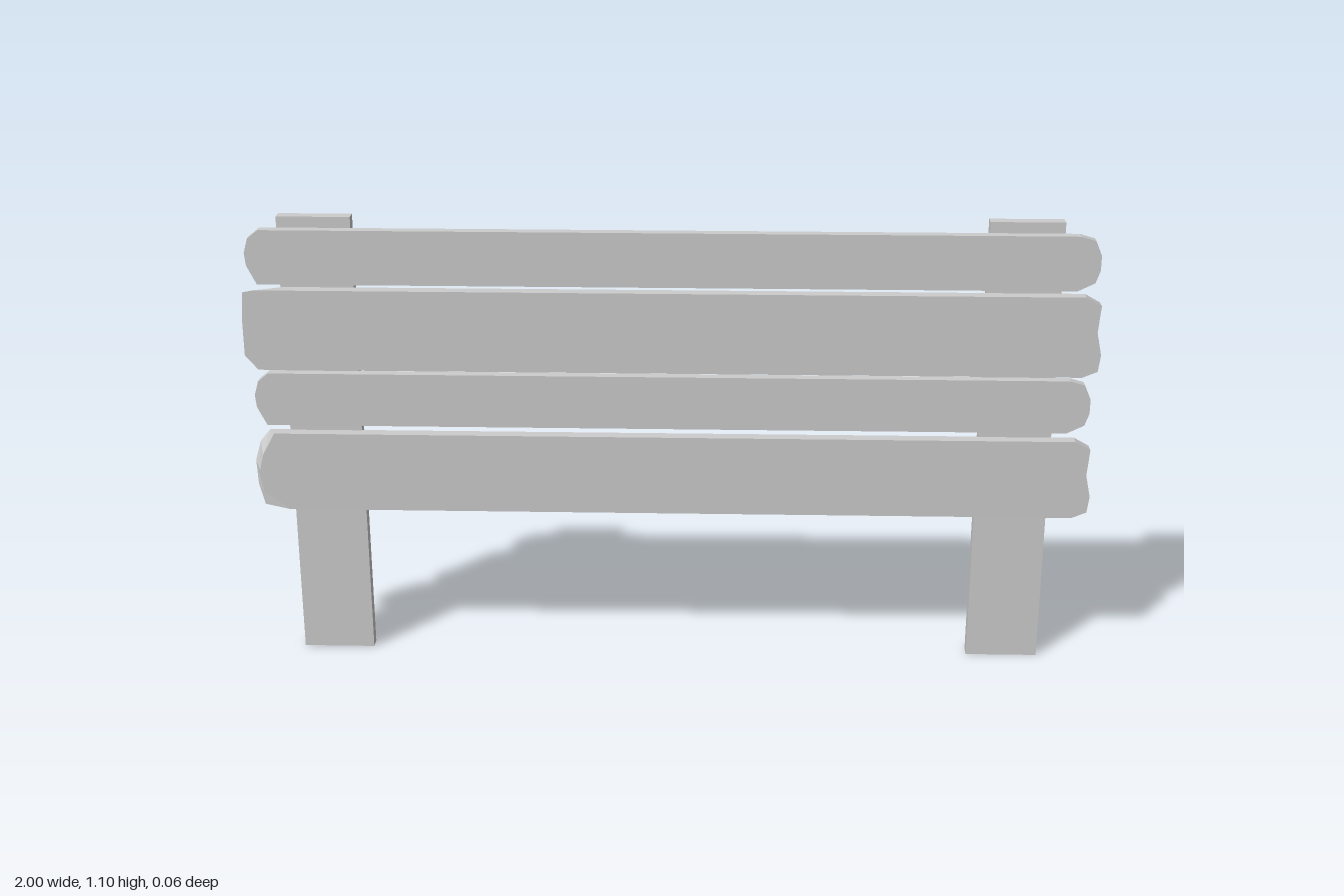
import * as THREE from 'three';

const material = new THREE.MeshStandardMaterial({ color: 0xcccccc, flatShading: true });

// Joins a back and a front outline (same point count, anticlockwise) into a solid board.
function boardGeometry(back, front, z0, z1) {
  const n = front.length;
  const positions = [
    ...back.flatMap(([x, y]) => [x, y, z0]),
    ...front.flatMap(([x, y]) => [x, y, z1]),
  ];
  const caps = (pts) => THREE.ShapeUtils.triangulateShape(pts.map((p) => new THREE.Vector2(...p)), []);
  const index = [];
  for (const [a, b, c] of caps(back)) index.push(a, c, b);
  for (const [a, b, c] of caps(front)) index.push(n + a, n + b, n + c);
  for (let i = 0; i < n; i++) {
    const j = (i + 1) % n;
    index.push(i, j, n + j, i, n + j, n + i);
  }
  const indexed = new THREE.BufferGeometry();
  indexed.setAttribute('position', new THREE.Float32BufferAttribute(positions, 3));
  indexed.setIndex(index);
  const geometry = indexed.toNonIndexed();
  geometry.computeVertexNormals();
  return geometry;
}

// End profiles as [x, height above the board's lower edge]; right runs up, left runs down.
const narrowRight = [[0.935, 0], [0.975, 0.02], [0.985, 0.05], [0.985, 0.085], [0.97, 0.12], [0.935, 0.13]];
const narrowLeft = [[-0.95, 0.13], [-0.975, 0.11], [-0.985, 0.075], [-0.982, 0.045], [-0.96, 0]];
const wideRight = [[0.96, 0], [0.995, 0.015], [1, 0.055], [0.988, 0.11], [0.993, 0.175], [0.957, 0.195]];
const upperLeft = [[-0.97, 0.195], [-0.995, 0.19], [-1, 0.12], [-1, 0.035], [-0.97, 0]];
const upperLeftBack = [[-0.9, 0.195], [-0.93, 0.165], [-0.95, 0.135], [-0.94, 0.045], [-0.96, 0]];
const lowerLeft = [[-0.945, 0.195], [-0.975, 0.14], [-0.985, 0.1], [-0.978, 0.045], [-0.92, 0]];
const lowerLeftBack = [[-0.96, 0.195], [-0.985, 0.165], [-1, 0.115], [-0.998, 0.055], [-0.985, 0]];

const planks = [
  { name: 'lowerWidePlank', y: 0.38, depth: 0.03, right: wideRight, left: lowerLeft, leftBack: lowerLeftBack },
  { name: 'lowerNarrowPlank', y: 0.595, depth: 0.025, right: narrowRight, left: narrowLeft },
  { name: 'upperWidePlank', y: 0.736, depth: 0.03, right: wideRight, left: upperLeft, leftBack: upperLeftBack },
  { name: 'upperNarrowPlank', y: 0.944, depth: 0.025, right: narrowRight, left: narrowLeft },
];

export function createModel() {
  const group = new THREE.Group();
  group.name = 'plankFence';

  // Horizontal planks with worn, chipped ends
  for (const { name, y, depth, right, left, leftBack = left } of planks) {
    const outline = (end) => [...right, ...end].map(([x, h]) => [x, y + h]);
    const plank = new THREE.Mesh(boardGeometry(outline(leftBack), outline(left), 0, depth), material);
    plank.name = name;
    group.add(plank);
  }

  // Two flat posts behind the planks, leaning back very slightly
  for (const [name, x] of [['rightPost', -0.825], ['leftPost', 0.817]]) {
    const geometry = new THREE.BoxGeometry(0.172, 1.1, 0.03);
    const p = geometry.attributes.position;
    for (let i = 0; i < p.count; i++) p.setZ(i, p.getZ(i) - 0.0025 * Math.sign(p.getY(i)));
    geometry.computeVertexNormals();
    const post = new THREE.Mesh(geometry, material);
    post.name = name;
    post.position.set(x, 0.55, -0.0125);
    group.add(post);
  }
  return group;
}
